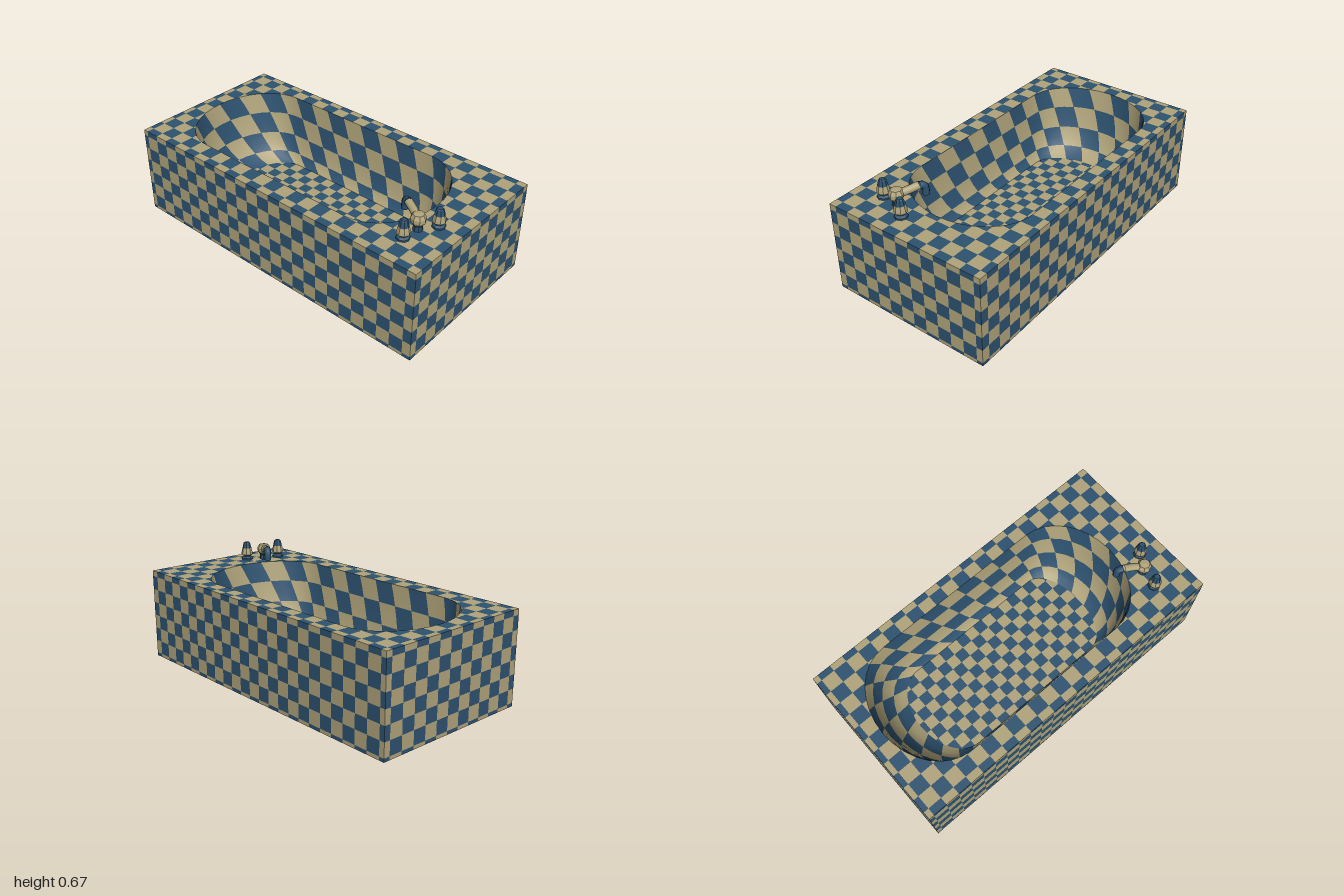
import * as THREE from 'three';

const HEIGHT = 0.555, FLOOR = 0.135, CELL = 1 / 12;
const lerp = THREE.MathUtils.lerp;

const material = (name, color) => {
  const m = new THREE.MeshStandardMaterial({ color, side: THREE.DoubleSide });
  m.name = name;
  return m;
};

// Basin outline: straight sides joined by half-elliptical ends (0 = rim, 1 = floor)
const rim = { left: -0.6, leftR: 0.3, right: 0.45, rightR: 0.3, half: 0.38 };
const base = { left: -0.5, leftR: 0.19, right: 0.4, rightR: 0.15, half: 0.288 };
function outline(u, s) {
  const k = key => lerp(rim[key], base[key], s);
  const t = (((u % 1) + 1) % 1) * 4, q = Math.floor(t), f = t - q;
  const a = (f - 0.5) * Math.PI, c = -0.012;
  if (q === 0) return [lerp(k('left'), k('right'), f), c - k('half')];
  if (q === 1) return [k('right') + k('rightR') * Math.cos(a), c + k('half') * Math.sin(a)];
  if (q === 2) return [lerp(k('right'), k('left'), f), c + k('half')];
  return [k('left') - k('leftR') * Math.cos(a), c - k('half') * Math.sin(a)];
}
const loop = s => Array.from({ length: 64 }, (_, i) => outline(i / 64, s));

// Split a flat polygon by the line a-b into its inner and outer part
function split(poly, a, b) {
  const side = p => (b[0] - a[0]) * (p[1] - a[1]) - (b[1] - a[1]) * (p[0] - a[0]);
  const inner = [], outer = [];
  poly.forEach((p, i) => {
    const n = poly[(i + 1) % poly.length], dp = side(p), dn = side(n);
    if (dp >= 0) inner.push(p);
    if (dp <= 0) outer.push(p);
    if (dp * dn < 0) {
      const f = dp / (dp - dn), m = [lerp(p[0], n[0], f), lerp(p[1], n[1], f)];
      inner.push(m);
      outer.push(m);
    }
  });
  return [inner, outer];
}

// Cut a polygon by a convex loop; gives the part inside and the pieces outside
function cut(poly, ring) {
  const outside = [];
  ring.forEach((a, i) => {
    if (poly.length < 3) return;
    const [inner, outer] = split(poly, a, ring[(i + 1) % ring.length]);
    if (outer.length > 2) outside.push(outer);
    poly = inner;
  });
  return { inside: poly.length > 2 ? [poly] : [], outside };
}

// Tile boundaries from lo to hi, lined up with one given boundary
function cuts(lo, hi, start, size) {
  const list = [lo];
  for (let v = start; v < hi - 1e-4; v += size) if (v > lo + 1e-4) list.push(v);
  return [...list, hi];
}

// Checkered flat panel: one mesh per colour
function tiledPanel(name, us, vs, place, parity, mats, trim = p => [p]) {
  const pos = [[], []];
  for (let i = 0; i < us.length - 1; i++) for (let j = 0; j < vs.length - 1; j++) {
    const cell = [[us[i], vs[j]], [us[i + 1], vs[j]], [us[i + 1], vs[j + 1]], [us[i], vs[j + 1]]];
    const out = pos[(i + j + parity) % 2];
    for (const p of trim(cell)) for (let n = 1; n < p.length - 1; n++)
      for (const c of [p[0], p[n], p[n + 1]]) out.push(...place(c[0], c[1]));
  }
  const group = new THREE.Group();
  group.name = name;
  pos.forEach((list, i) => {
    const g = new THREE.BufferGeometry();
    g.setAttribute('position', new THREE.Float32BufferAttribute(list, 3));
    g.computeVertexNormals();
    const mesh = new THREE.Mesh(g, mats[i]);
    mesh.name = name + (i ? 'SandTiles' : 'BlueTiles');
    group.add(mesh);
  });
  return group;
}

// Smooth sloping basin wall with slightly slanted checks
function basinWall(mats) {
  const profile = [[0, HEIGHT], [0.06, 0.495], [0.13, 0.43], [0.21, 0.365], [0.31, 0.3],
    [0.44, 0.24], [0.6, 0.19], [0.79, 0.155], [1, FLOOR]];
  const N = 64, pos = [], faces = [[], []];
  profile.forEach(([s, y], r) => {
    for (let i = 0; i < N; i++) {
      const [x, z] = outline((i + r * 0.375) / N, s);
      pos.push(x, y, z);
    }
  });
  for (let r = 0; r < profile.length - 1; r++) for (let i = 0; i < N; i++) {
    const a = r * N + i, b = r * N + (i + 1) % N;
    faces[((i >> 1) + (r >> 1)) % 2].push(a, b, b + N, a, b + N, a + N);
  }
  const g = new THREE.BufferGeometry();
  g.setAttribute('position', new THREE.Float32BufferAttribute(pos, 3));
  g.setIndex([...faces[0], ...faces[1]]);
  g.addGroup(0, faces[0].length, 0);
  g.addGroup(faces[0].length, faces[1].length, 1);
  g.computeVertexNormals();
  const mesh = new THREE.Mesh(g, mats);
  mesh.name = 'basinWall';
  return mesh;
}

// Faceted turned part
function turned(name, points, mat) {
  const g = new THREE.LatheGeometry(points.map(p => new THREE.Vector2(...p)), 8).toNonIndexed();
  g.computeVertexNormals();
  const mesh = new THREE.Mesh(g, mat);
  mesh.name = name;
  return mesh;
}

function tapHandle(name, x, z, [blue, sand]) {
  const group = new THREE.Group();
  group.name = name;
  group.position.set(x, HEIGHT, z);
  group.add(
    turned('handleBase', [[0.036, 0], [0.036, 0.01], [0.024, 0.02], [0.026, 0.027]], blue),
    turned('handleSkirt', [[0.026, 0.027], [0.037, 0.034], [0.035, 0.05], [0.029, 0.075]], sand),
    turned('handleCrown', [[0.029, 0.075], [0.021, 0.107], [0.016, 0.113], [0, 0.113]], blue));
  return group;
}

function spout([blue, sand]) {
  const group = new THREE.Group();
  group.name = 'spout';
  const foot = turned('spoutFoot', [[0.027, 0], [0.025, 0.03], [0.034, 0.042]], blue);
  const body = turned('spoutBody', [[0.034, 0.042], [0.042, 0.055], [0.042, 0.075], [0.03, 0.096], [0, 0.1]], sand);
  for (const part of [foot, body]) part.position.set(0.797, HEIGHT, 0.214);
  const tube = (name, pts, r, mat) => {
    const curve = new THREE.CatmullRomCurve3(pts.map(p => new THREE.Vector3(...p)));
    const mesh = new THREE.Mesh(new THREE.TubeGeometry(curve, 8, r, 8), mat);
    mesh.name = name;
    return mesh;
  };
  group.add(foot, body,
    tube('spoutArm', [[0.79, 0.62, 0.21], [0.74, 0.632, 0.18], [0.69, 0.643, 0.155]], 0.023, sand),
    tube('spoutMouth', [[0.69, 0.643, 0.155], [0.668, 0.638, 0.143], [0.66, 0.615, 0.139], [0.659, 0.582, 0.138]], 0.021, blue));
  return group;
}

export function createModel() {
  const mats = [material('tileBlue', 0x2d5270), material('tileSand', 0xb0a47b)];
  const tub = new THREE.Group();
  tub.name = 'bathtub';

  // Outer walls, open underneath
  const xs = cuts(-1, 1, -0.968, CELL), zs = cuts(-0.5, 0.5, -0.462, CELL);
  const ys = cuts(0, HEIGHT, 0.021, CELL);
  tub.add(
    tiledPanel('frontWall', xs, ys, (x, y) => [x, y, 0.5], 0, mats),
    tiledPanel('backWall', ys, xs, (y, x) => [x, y, -0.5], 0, mats),
    tiledPanel('leftWall', ys, zs, (y, z) => [1, y, z], 0, mats),
    tiledPanel('rightWall', zs, ys, (z, y) => [-1, y, z], 0, mats));

  // Deck around the basin, the basin wall and its floor
  const rimLoop = loop(0), floorLoop = loop(1);
  tub.add(
    tiledPanel('deck', zs, xs, (z, x) => [x, HEIGHT, z], 1, mats,
      p => cut(p.map(([z, x]) => [x, z]), rimLoop).outside.map(o => o.map(([x, z]) => [z, x]).reverse())),
    basinWall(mats),
    tiledPanel('basinFloor', cuts(-0.724, 0.6, -0.6572, 0.0668), cuts(-0.3, 0.3, -0.2332, 0.0668),
      (x, z) => [x, FLOOR, z], 0, mats, p => cut(p, floorLoop).inside));

  // Taps
  tub.add(tapHandle('frontTap', 0.786, 0.32, mats), tapHandle('backTap', 0.861, 0.125, mats), spout(mats));
  return tub;
}
